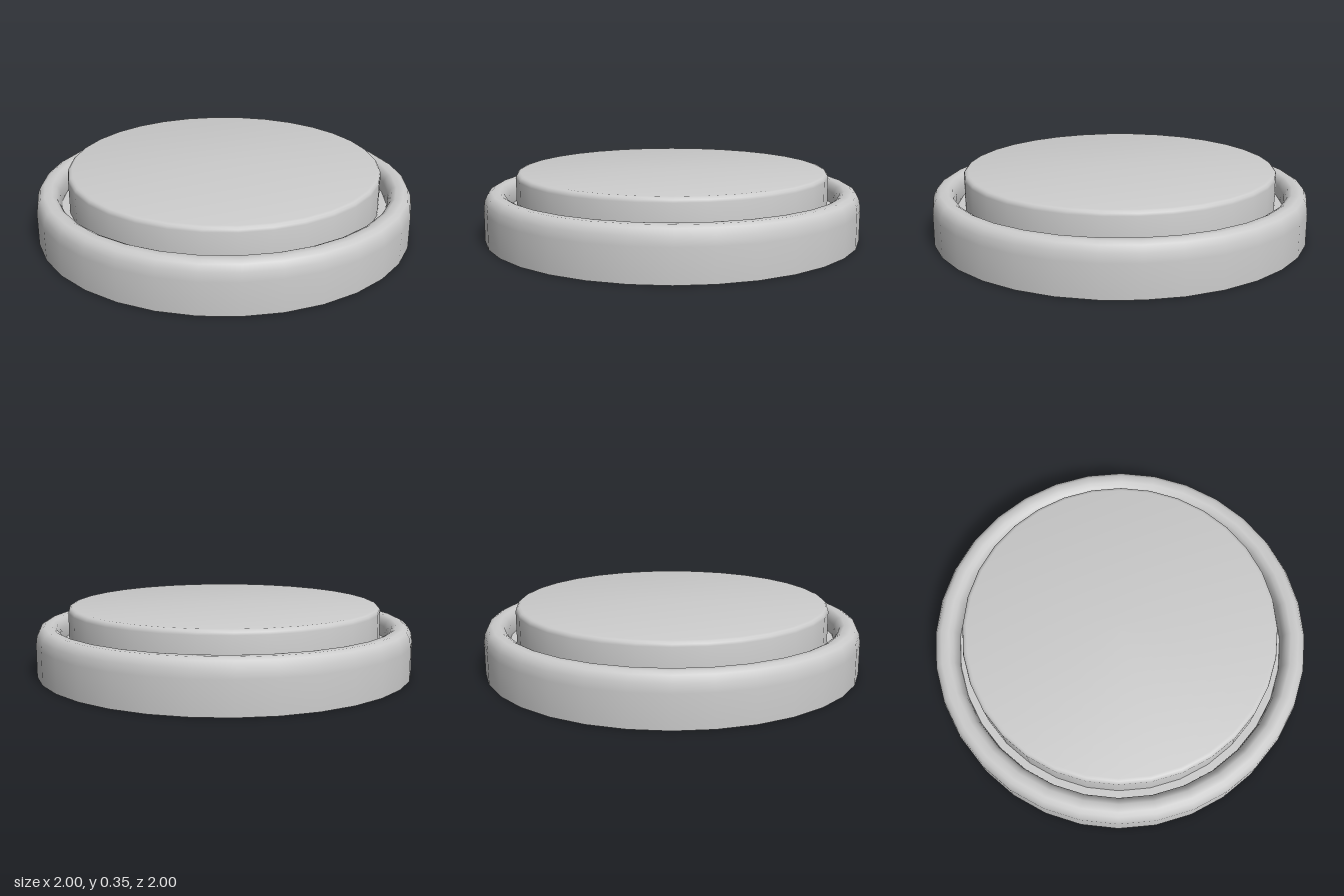
import * as THREE from 'three';
import { toCreasedNormals } from 'three/addons/utils/BufferGeometryUtils.js';

const SIDES = 32;
const material = new THREE.MeshStandardMaterial({ color: 0xcccccc });

// Points on a quarter ellipse around (cx, cy), from angle a to angle b in degrees
function rounding(cx, cy, rx, ry, a, b, steps = 3) {
  return Array.from({ length: steps + 1 }, (_, i) => {
    const t = THREE.MathUtils.degToRad(a + ((b - a) * i) / steps);
    return [cx + rx * Math.cos(t), cy + ry * Math.sin(t)];
  });
}

// Turned part with smooth roundings and sharp corners
function turned(name, profile) {
  const points = profile.map(([x, y]) => new THREE.Vector2(x, y));
  const geometry = toCreasedNormals(new THREE.LatheGeometry(points, SIDES), 0.8);
  const mesh = new THREE.Mesh(geometry, material);
  mesh.name = name;
  return mesh;
}

export function createModel() {
  const group = new THREE.Group();
  group.name = 'roundButton';

  // Base: closed underside, rounded rim and the floor of the groove
  group.add(turned('base', [
    [0, 0],
    [1, 0],
    ...rounding(0.955, 0.17, 0.045, 0.09, 0, 90),
    ...rounding(0.915, 0.17, 0.045, 0.09, 90, 180),
    [0.87, 0.16],
    [0.8, 0.16],
  ]));

  // Raised cap: straight wall, small rounded edge and flat top
  group.add(turned('cap', [
    [0.83, 0.15],
    ...rounding(0.805, 0.33, 0.025, 0.025, 0, 90),
    [0, 0.355],
  ]));

  return group;
}
